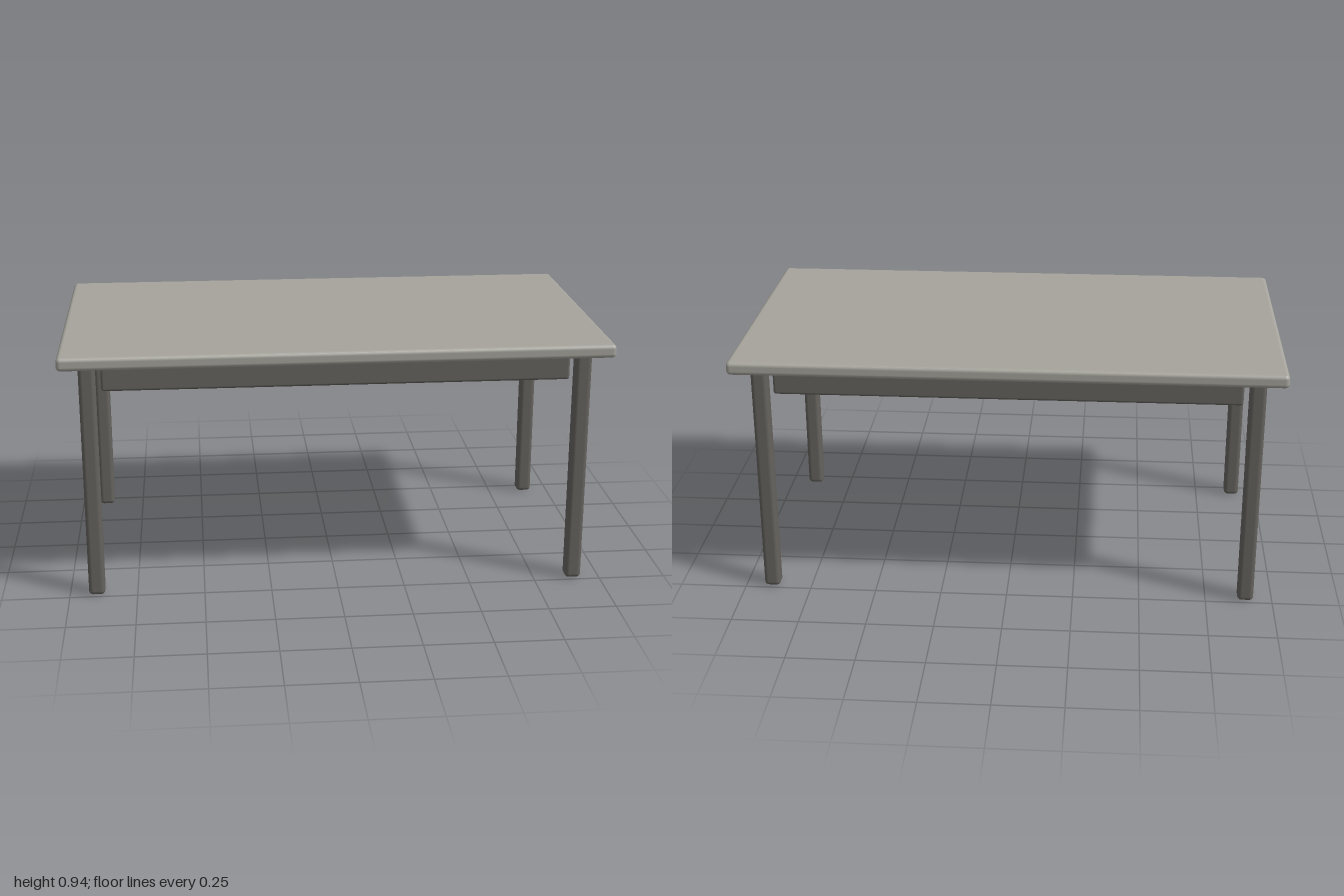
import * as THREE from 'three';
import { RoundedBoxGeometry } from 'three/addons/geometries/RoundedBoxGeometry.js';

export function createModel() {
  const table = new THREE.Group();
  table.name = 'table';

  const topMaterial = new THREE.MeshStandardMaterial({ color: 0xa5a39b });
  topMaterial.name = 'light grey top';
  const frameMaterial = new THREE.MeshStandardMaterial({ color: 0x66635e });
  frameMaterial.name = 'dark grey frame';

  // Softly rounded block, placed by its centre
  function addBlock(name, size, radius, position, material) {
    const mesh = new THREE.Mesh(new RoundedBoxGeometry(...size, 4, radius), material);
    mesh.name = name;
    mesh.position.set(...position);
    table.add(mesh);
  }

  // Tabletop
  addBlock('tabletop', [2, 0.05, 1.12], 0.016, [0, 0.915, 0], topMaterial);

  for (const z of [0.46, -0.46]) {
    const end = z > 0 ? 'front' : 'back';
    // Long rail between the legs, under the top
    addBlock(`${end}Rail`, [1.7, 0.1, 0.04], 0.01, [0, 0.84, z], frameMaterial);
    // Legs at both corners of this side
    for (const x of [0.9, -0.9]) {
      const side = x > 0 ? 'Left' : 'Right';
      addBlock(`${end}${side}Leg`, [0.06, 0.89, 0.06], 0.016, [x, 0.445, z], frameMaterial);
    }
  }

  return table;
}
